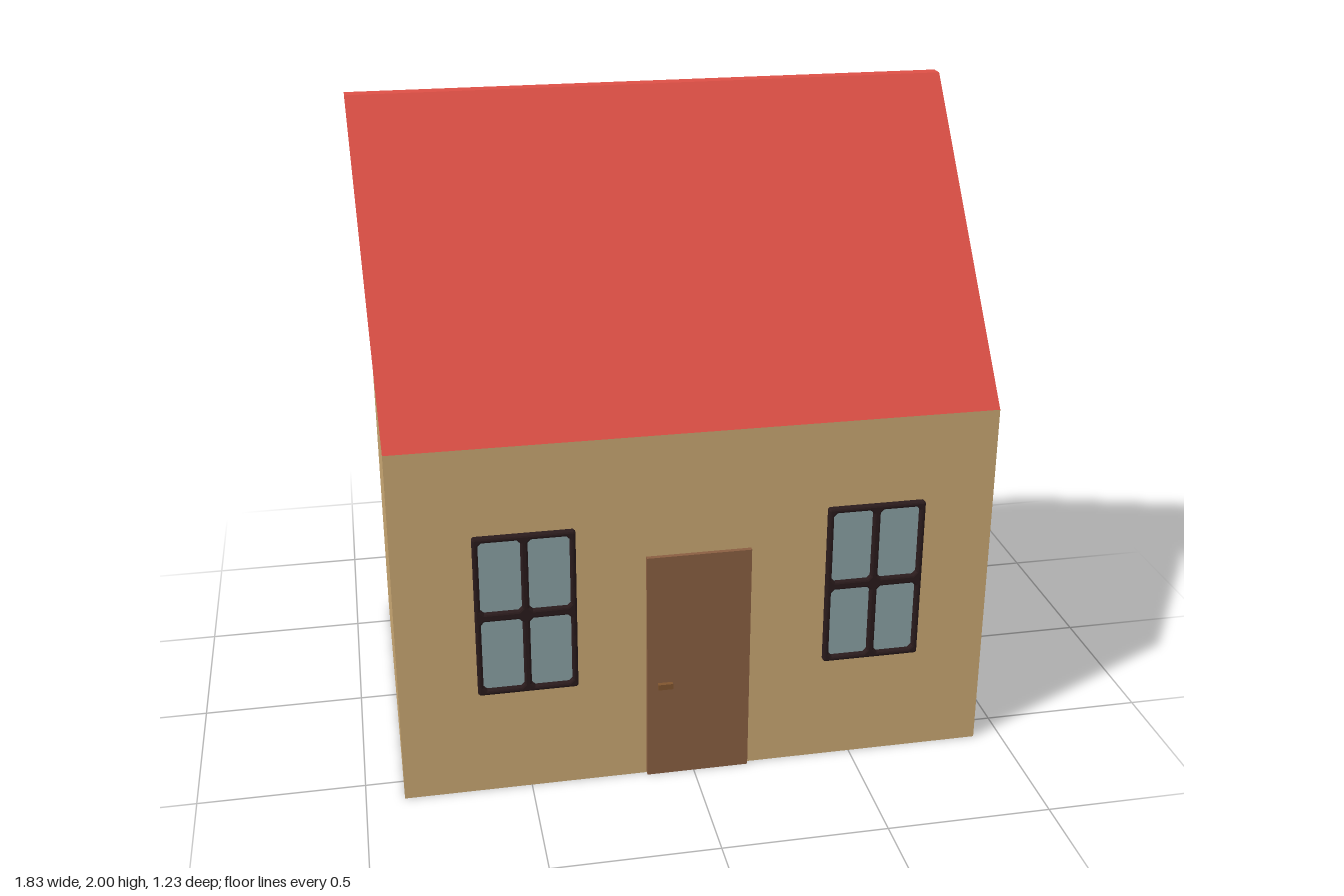
import * as THREE from 'three';

const paint = (name, color) => {
  const m = new THREE.MeshStandardMaterial({ color });
  m.name = name;
  return m;
};

export function createModel() {
  const wall = paint('tan wall', 0xc9a772);
  const roofRed = paint('red roof', 0xdd5046);
  const wood = paint('brown door', 0x8a5f42);
  const handleWood = paint('handle brown', 0x80552f);
  const dark = paint('dark frame', 0x2a1b1c);
  const glass = paint('window glass', 0x8aa0a4);

  const house = new THREE.Group();
  house.name = 'house';

  const FRONT = 0.59;

  function add(parent, name, geometry, material) {
    const mesh = new THREE.Mesh(geometry, material);
    mesh.name = name;
    parent.add(mesh);
    return mesh;
  }

  // Box given by its minimum and maximum on each axis
  function box(parent, name, material, [x0, x1], [y0, y1], [z0, z1]) {
    const mesh = add(parent, name, new THREE.BoxGeometry(x1 - x0, y1 - y0, z1 - z0), material);
    mesh.position.set((x0 + x1) / 2, (y0 + y1) / 2, (z0 + z1) / 2);
    return mesh;
  }

  // Walls
  box(house, 'walls', wall, [-0.885, 0.915], [0, 1.13], [-0.615, FRONT]);

  // Roof: a box pulled in to a narrow ridge that is shifted slightly sideways
  const roofGeo = new THREE.BoxGeometry(2, 2, 2);
  const p = roofGeo.attributes.position;
  for (let i = 0; i < p.count; i++) {
    const top = p.getY(i) > 0;
    const left = p.getX(i) > 0;
    const front = p.getZ(i) > 0;
    if (top) p.setXYZ(i, left ? 0.893 : -0.918, 2, front ? -0.045 : -0.09);
    else p.setXYZ(i, left ? 0.915 : -0.885, 1.13, front ? FRONT : -0.615);
  }
  roofGeo.computeVertexNormals();
  add(house, 'roof', roofGeo, roofRed);

  // Door and handle
  box(house, 'door', wood, [-0.145, 0.17], [0, 0.747], [FRONT - 0.005, 0.604]);
  box(house, 'doorHandle', handleWood, [-0.113, -0.068], [0.305, 0.323], [0.6, 0.617]);

  // Rectangle outline with cut corners
  function outline(target, x, y, w, h, c) {
    const a = w / 2, b = h / 2;
    target.setFromPoints([
      [-a + c, -b], [a - c, -b], [a, -b + c], [a, b - c],
      [a - c, b], [-a + c, b], [-a, b - c], [-a, -b + c],
    ].map(([u, v]) => new THREE.Vector2(x + u, y + v)));
    return target;
  }

  // Windows: bevelled four-pane frame over a thin glass plate
  const W = 0.298, H = 0.516, BEVEL = 0.006;
  function addWindow(name, x) {
    const win = new THREE.Group();
    win.name = name;
    win.position.set(x, 0.603, FRONT);
    const shape = outline(new THREE.Shape(), 0, 0, W - 2 * BEVEL, H - 2 * BEVEL, 0.002);
    for (const sx of [-1, 1]) {
      for (const sy of [-1, 1]) {
        shape.holes.push(outline(new THREE.Path(), sx * 0.0715, sy * 0.1275, 0.134, 0.241, 0.014));
      }
    }
    const frame = new THREE.ExtrudeGeometry(shape, {
      depth: 0.012, bevelEnabled: true, bevelSize: BEVEL, bevelThickness: BEVEL, bevelSegments: 2,
    });
    frame.translate(0, 0, BEVEL);
    add(win, 'frame', frame, dark);
    box(win, 'glass', glass, [-W / 2 + 0.01, W / 2 - 0.01], [-H / 2 + 0.01, H / 2 - 0.01], [0.001, 0.008]);
    house.add(win);
  }
  addWindow('rightWindow', -0.503);
  addWindow('leftWindow', 0.548);

  return house;
}
